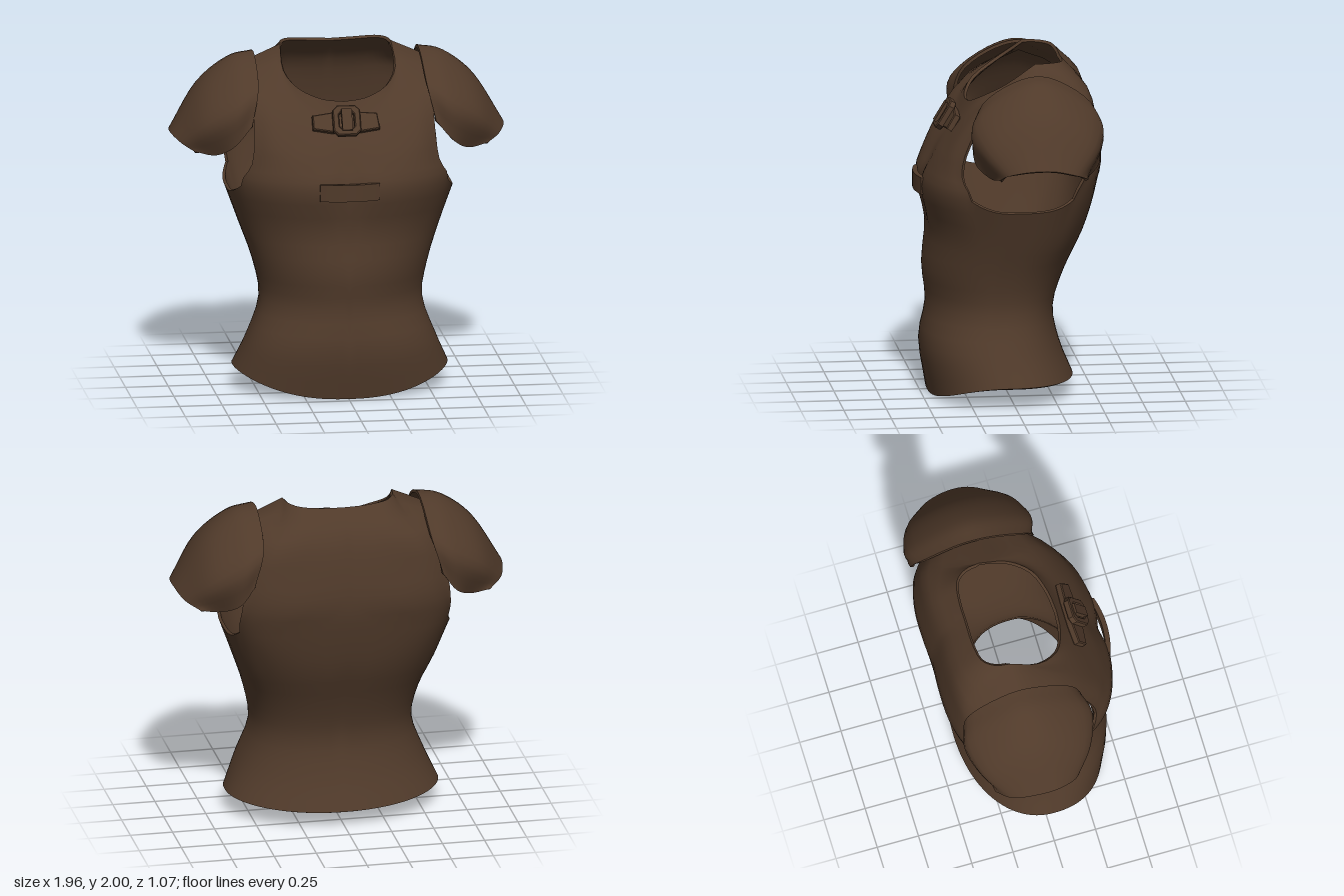
import * as THREE from 'three';
import { mergeGeometries, mergeVertices } from 'three/addons/utils/BufferGeometryUtils.js';

const V = (p) => new THREE.Vector3(...p);
const spline = (pts) => new THREE.CatmullRomCurve3(pts, false, 'catmullrom', 0.5);
const sample = (pts, n) => Array.from({ length: n + 1 }, (_, i) => spline(pts).getPoint(i / n));

function fromPositions(pos) {
  const g = new THREE.BufferGeometry();
  g.setAttribute('position', new THREE.Float32BufferAttribute(pos, 3));
  return g;
}

// Triangles between neighbouring columns; columns may differ in height
function grid(cols, mirror = false) {
  const out = [];
  const tri = (a, b, c) => {
    for (const p of mirror ? [a, c, b] : [a, b, c]) out.push(mirror ? -p.x : p.x, p.y, p.z);
  };
  for (let i = 0; i + 1 < cols.length; i++) {
    const A = cols[i], B = cols[i + 1];
    for (let k = 0; k + 1 < Math.min(A.length, B.length); k++) {
      tri(A[k], B[k], B[k + 1]);
      tri(A[k], B[k + 1], A[k + 1]);
    }
  }
  return fromPositions(out);
}

// Gives a smooth surface an inner wall and closes every open edge with a rim
function thicken(geo, t) {
  const outer = mergeVertices(geo);
  outer.computeVertexNormals();
  const P = outer.attributes.position, N = outer.attributes.normal, idx = outer.index.array;
  const inner = outer.clone();
  const flipped = [], edges = new Map();
  for (let i = 0; i < P.count; i++) {
    inner.attributes.position.setXYZ(i, P.getX(i) - N.getX(i) * t, P.getY(i) - N.getY(i) * t, P.getZ(i) - N.getZ(i) * t);
  }
  for (let i = 0; i < idx.length; i += 3) {
    flipped.push(idx[i], idx[i + 2], idx[i + 1]);
    for (let e = 0; e < 3; e++) {
      const a = idx[i + e], b = idx[i + (e + 1) % 3];
      if (!edges.delete(b + '_' + a)) edges.set(a + '_' + b, [a, b]);
    }
  }
  inner.setIndex(flipped);
  inner.computeVertexNormals();
  const rim = [], I = inner.attributes.position;
  const put = (attr, i) => rim.push(attr.getX(i), attr.getY(i), attr.getZ(i));
  for (const [a, b] of edges.values()) {
    put(P, b); put(P, a); put(I, a);
    put(P, b); put(I, a); put(I, b);
  }
  const rimGeo = fromPositions(rim);
  rimGeo.computeVertexNormals();
  return mergeGeometries([outer.toNonIndexed(), inner.toNonIndexed(), rimGeo]);
}

// Torso rings: side height and half width, centre dent, then for front and back
// the height, depth, roundness and how soon the ring climbs to that height
const LEVELS = [
  { y: 0.13, w: 0.63, dent: 0, front: [0, 0.455, 0.86, 1], back: [0.1, -0.39, 0.95, 1] },
  { y: 0.31, w: 0.55, dent: 0, front: [0.29, 0.5, 0.94, 1], back: [0.3, -0.31, 0.85, 1] },
  { y: 0.53, w: 0.475, dent: 0, front: [0.53, 0.465, 1.07, 1], back: [0.52, -0.27, 0.74, 1] },
  { y: 0.75, w: 0.51, dent: 0, front: [0.75, 0.485, 1, 1], back: [0.75, -0.335, 0.72, 1] },
  { y: 0.97, w: 0.585, dent: 0.005, front: [1, 0.462, 0.86, 2], back: [1, -0.44, 0.64, 2] },
  { y: 1.18, w: 0.66, dent: 0.03, front: [1.25, 0.515, 0.8, 5.5], back: [1.25, -0.5, 0.52, 4.5] },
];
function ringPoint({ y, w, dent, front, back }, a) {
  const c = Math.cos(a), s = Math.sin(a);
  const [yEnd, zEnd, e, climb] = c > 0 ? front : back;
  const x = w * Math.pow(Math.abs(s), e);
  const mid = (front[1] + back[1]) / 2;
  let z = mid + (zEnd - mid) * Math.pow(Math.abs(c), e);
  if (c > 0) z -= dent * Math.exp(-((x / 0.09) ** 2));
  return new THREE.Vector3(x, y + (yEnd - y) * Math.min(1, c * c * climb), z);
}

// Chest and back rows, each from the centre line out to the armhole
const FRONT = [
  [[0, 1.4, 0.43], [0.16, 1.4, 0.45], [0.33, 1.4, 0.435], [0.46, 1.4, 0.385], [0.55, 1.39, 0.315]],
  [[0, 1.51, 0.375], [0.14, 1.515, 0.38], [0.29, 1.53, 0.37], [0.43, 1.55, 0.34], [0.53, 1.57, 0.27]],
  [[0, 1.63, 0.29], [0.14, 1.64, 0.285], [0.29, 1.69, 0.25], [0.42, 1.75, 0.19], [0.53, 1.77, 0.14]],
].map((r) => spline(r.map(V)));
const BACK = [
  [[0, 1.42, -0.52], [0.17, 1.42, -0.53], [0.35, 1.42, -0.525], [0.51, 1.42, -0.485], [0.62, 1.41, -0.41]],
  [[0, 1.62, -0.5], [0.16, 1.62, -0.51], [0.33, 1.62, -0.505], [0.48, 1.62, -0.475], [0.59, 1.6, -0.41]],
  [[0, 1.83, -0.445], [0.15, 1.83, -0.455], [0.29, 1.84, -0.45], [0.42, 1.83, -0.42], [0.535, 1.81, -0.35]],
].map((r) => spline(r.map(V)));
const CORNER = [0.325, 1.995, -0.14], SHOULDER = [0.54, 1.9, -0.14];
const NECK_FRONT = spline([[0, 1.73, 0.235], [0.13, 1.745, 0.22], [0.26, 1.8, 0.16], [0.33, 1.88, 0.03], CORNER].map(V));
const NECK_BACK = spline([[0, 1.975, -0.32], [0.13, 1.98, -0.32], [0.25, 1.99, -0.3], [0.31, 1.995, -0.23], CORNER].map(V));

function torsoGeometry() {
  const n = 16, sides = 14, aFront = 1.13, aBack = Math.PI - 1.085, perSegment = 3;
  const column = (a, rows, neck, s) => {
    const pts = LEVELS.map((l) => ringPoint(l, a));
    if (rows) {
      pts.push(...rows.map((r) => r.getPoint(s)));
      pts.push(s <= 0.75 ? neck.getPoint(s / 0.75) : V(CORNER).lerp(V(SHOULDER), (s - 0.75) * 4));
    }
    return sample(pts, (pts.length - 1) * perSegment);
  };
  const cols = [];
  for (let j = 0; j <= n; j++) cols.push(column(aFront * j / n, FRONT, NECK_FRONT, j / n));
  for (let j = 1; j < sides; j++) cols.push(column(aFront + (aBack - aFront) * j / sides));
  for (let j = n; j >= 0; j--) cols.push(column(Math.PI - (Math.PI - aBack) * j / n, BACK, NECK_BACK, j / n));
  return thicken(mergeGeometries([grid(cols), grid(cols, true)]), 0.018);
}

// Shoulder cap arcs, front to back, from the seam out to the tip
const CAP = [
  [[0.54, 1.6, 0.255], [0.495, 1.8, 0.19], [0.485, 1.935, -0.02], [0.485, 1.945, -0.22], [0.5, 1.79, -0.455], [0.56, 1.58, -0.49]],
  [[0.64, 1.48, 0.245], [0.63, 1.71, 0.25], [0.63, 1.895, 0], [0.63, 1.91, -0.22], [0.63, 1.71, -0.49], [0.64, 1.47, -0.48]],
  [[0.74, 1.415, 0.17], [0.8, 1.6, 0.2], [0.81, 1.755, 0], [0.81, 1.765, -0.22], [0.8, 1.6, -0.44], [0.74, 1.415, -0.41]],
  [[0.86, 1.43, 0.13], [0.93, 1.47, 0.08], [0.975, 1.5, -0.04], [0.975, 1.5, -0.18], [0.94, 1.465, -0.31], [0.86, 1.425, -0.39]],
];
function capGeometry(mirror) {
  const arcs = CAP.map((a) => sample(a.map(V), 24));
  const across = arcs[0].map((_, k) => sample(arcs.map((a) => a[k]), 15));
  const cols = across[0].map((_, i) => across.map((row) => row[i]));
  return thicken(grid(cols, mirror), 0.018);
}

function plate(points, depth, hole) {
  const toShape = (C, pts) => new C(pts.map(([x, y]) => new THREE.Vector2(x, y)));
  const shape = toShape(THREE.Shape, points);
  if (hole) shape.holes.push(toShape(THREE.Path, hole));
  return new THREE.ExtrudeGeometry(shape, { depth, bevelThickness: 0.006, bevelSize: 0.006, bevelSegments: 1 });
}
const octagon = (w, h, c) => [[-w + c, -h], [w - c, -h], [w, -h + c], [w, h - c], [w - c, h], [-w + c, h], [-w, h - c], [-w, -h + c]];

export function createModel() {
  const leather = new THREE.MeshStandardMaterial({ color: 0x503a2a });
  leather.name = 'brown leather';
  const model = new THREE.Group();
  model.name = 'leatherCuirass';
  const add = (name, geo, parent = model) => {
    const m = new THREE.Mesh(geo, leather);
    m.name = name;
    parent.add(m);
    return m;
  };

  add('torso', torsoGeometry());
  add('leftShoulderCap', capGeometry(false));
  add('rightShoulderCap', capGeometry(true));

  // Buckle below the collar, tilted with the chest
  const buckle = new THREE.Group();
  buckle.name = 'buckle';
  buckle.position.set(0, 1.612, 0.305);
  buckle.rotation.x = -0.55;
  model.add(buckle);
  add('buckleStrap', plate([[-0.19, -0.035], [-0.08, -0.055], [0.08, -0.055], [0.19, -0.04],
    [0.18, 0.045], [0.08, 0.055], [-0.08, 0.055], [-0.19, 0.04]], 0.03), buckle).position.z = 0.005;
  add('buckleFrame', plate(octagon(0.075, 0.085, 0.025), 0.03, octagon(0.05, 0.055, 0.015)), buckle).position.z = 0.04;
  add('buckleLoop', new THREE.BoxGeometry(0.06, 0.13, 0.03), buckle).position.z = 0.075;

  // Curved bar bridging the chest
  const bar = new THREE.BoxGeometry(0.35, 0.1, 0.03, 12, 1, 1);
  const p = bar.attributes.position;
  for (let i = 0; i < p.count; i++) p.setZ(i, p.getZ(i) - 0.9 * p.getX(i) ** 2);
  bar.computeVertexNormals();
  add('chestBar', bar).position.set(0, 1.25, 0.522);
  return model;
}
